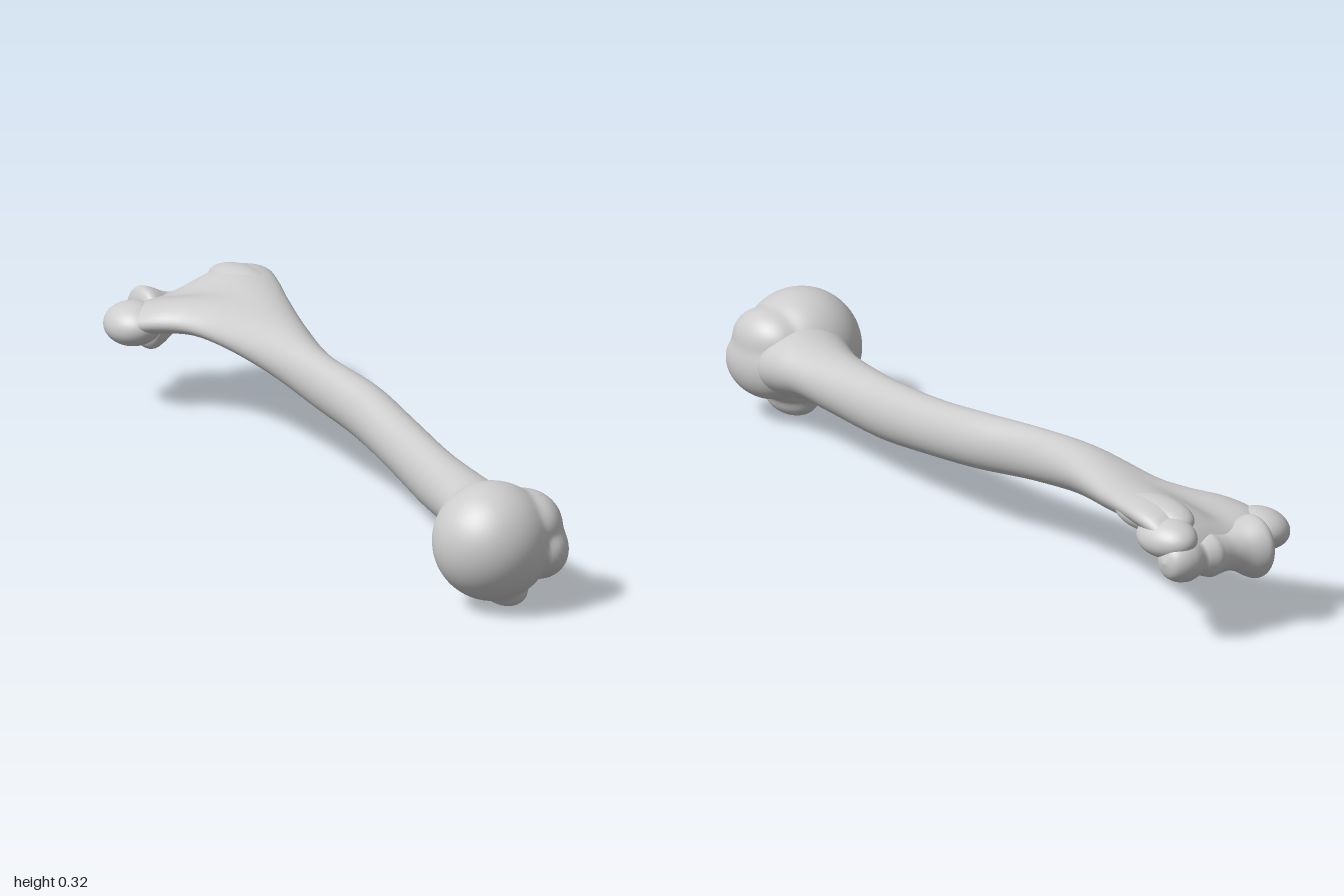
import * as THREE from 'three';

const material = new THREE.MeshStandardMaterial({ color: 0xcccccc });

function addMesh(group, name, geometry) {
  const mesh = new THREE.Mesh(geometry, material);
  mesh.name = name;
  group.add(mesh);
  return mesh;
}

// Shaft stations: z, centre x, centre y, half width, half height, tilt, hollow
const STATIONS = [
  [0.88, -0.13, 0.15, 0.03, 0.03, 0, 0],
  [0.84, -0.14, 0.15, 0.11, 0.08, 0, 0],
  [0.77, -0.132, 0.158, 0.118, 0.083, 0, 0],
  [0.70, -0.108, 0.162, 0.098, 0.070, 0, 0],
  [0.60, -0.078, 0.160, 0.077, 0.069, 0, 0],
  [0.40, -0.033, 0.162, 0.062, 0.071, 0, 0],
  [0.20, 0.010, 0.182, 0.059, 0.067, 0, 0],
  [0.00, 0.043, 0.207, 0.057, 0.067, 0, 0],
  [-0.20, 0.053, 0.228, 0.052, 0.063, 0, 0],
  [-0.40, 0.085, 0.249, 0.075, 0.058, 0.15, 0],
  [-0.60, 0.130, 0.255, 0.110, 0.050, 0.2, 0.05],
  [-0.70, 0.142, 0.260, 0.140, 0.048, 0.2, 0.2],
  [-0.78, 0.135, 0.257, 0.175, 0.052, 0.2, 0.5],
  [-0.85, 0.125, 0.240, 0.190, 0.055, 0.2, 0.55],
  [-0.90, 0.125, 0.220, 0.175, 0.045, 0.15, 0.3],
  [-0.93, 0.130, 0.205, 0.130, 0.025, 0.1, 0],
  [-0.935, 0.130, 0.205, 0.010, 0.005, 0.1, 0],
];

// Smooth value of a table row at fractional index f
function sampleRow(rows, f) {
  const i = Math.min(Math.floor(f), rows.length - 2);
  const t = f - i;
  const row = (k) => rows[Math.max(0, Math.min(rows.length - 1, k))];
  return rows[0].map((_, c) => {
    const [p, q, r, s] = [-1, 0, 1, 2].map((k) => row(i + k)[c]);
    return q + 0.5 * t * (r - p + t * (2 * p - 5 * q + 4 * r - s + t * (3 * (q - r) + s - p)));
  });
}

// Shaft lofted through tilted ovals, hollowed on both faces near the elbow
function shaftGeometry(steps = 8, sides = 56) {
  const rings = (STATIONS.length - 1) * steps;
  const positions = [];
  const index = [];
  for (let i = 0; i <= rings; i++) {
    const [z, cx, cy, a, b, tilt, hollow] = sampleRow(STATIONS, i / steps);
    for (let j = 0; j < sides; j++) {
      const t = (j / sides) * Math.PI * 2;
      const u = Math.cos(t);
      const dip = hollow * Math.exp(-(((u + 0.1) / 0.38) ** 2));
      const x = a * u;
      const y = b * Math.sin(t) * (1 - dip);
      positions.push(
        cx + x * Math.cos(tilt) - y * Math.sin(tilt) * 0.5,
        cy + x * Math.sin(tilt) + y * Math.cos(tilt),
        z
      );
      if (i < rings) {
        const k = i * sides + j;
        const n = i * sides + ((j + 1) % sides);
        index.push(k, k + sides, n, n, k + sides, n + sides);
      }
    }
  }
  const geometry = new THREE.BufferGeometry();
  geometry.setAttribute('position', new THREE.Float32BufferAttribute(positions, 3));
  geometry.setIndex(index);
  geometry.computeVertexNormals();
  return geometry;
}

// Distance along a ray from origin to the far side of an ellipsoid
function exitDistance(origin, dir, [cx, cy, cz, rx, ry, rz]) {
  const o = new THREE.Vector3((origin.x - cx) / rx, (origin.y - cy) / ry, (origin.z - cz) / rz);
  const d = new THREE.Vector3(dir.x / rx, dir.y / ry, dir.z / rz);
  const a = d.dot(d);
  const b = o.dot(d);
  const disc = b * b - a * (o.dot(o) - 1);
  return disc < 0 ? 0 : Math.max(0, (-b + Math.sqrt(disc)) / a);
}

// Sphere swollen outward to a soft union of several ellipsoids
function blendedBlob(centre, blobs, sharpness = 220) {
  const origin = new THREE.Vector3(...centre);
  const geometry = new THREE.SphereGeometry(1, 96, 64);
  const p = geometry.attributes.position;
  const dir = new THREE.Vector3();
  for (let i = 0; i < p.count; i++) {
    dir.fromBufferAttribute(p, i).normalize();
    const sum = blobs.reduce((s, e) => s + Math.exp(sharpness * exitDistance(origin, dir, e)), 0);
    dir.multiplyScalar(Math.log(sum) / sharpness).add(origin);
    p.setXYZ(i, dir.x, dir.y, dir.z);
  }
  geometry.computeVertexNormals();
  return geometry;
}

function addEllipsoid(group, name, [x, y, z, rx, ry, rz], tilt = 0) {
  const mesh = addMesh(group, name, new THREE.SphereGeometry(1, 40, 28));
  mesh.position.set(x, y, z);
  mesh.scale.set(rx, ry, rz);
  mesh.rotation.z = tilt;
}

export function createModel() {
  const bone = new THREE.Group();
  bone.name = 'upperArmBone';

  addMesh(bone, 'shaft', shaftGeometry());

  // Shoulder end: round head, two stacked bumps beside it, small bump below
  addMesh(bone, 'shoulderHead', blendedBlob([-0.14, 0.15, 0.87], [
    [-0.19, 0.16, 0.857, 0.139, 0.14, 0.141],
    [-0.1, 0.195, 0.87, 0.072, 0.075, 0.1],
    [-0.085, 0.14, 0.87, 0.066, 0.082, 0.113],
    [-0.16, 0.045, 0.86, 0.045, 0.044, 0.075],
  ]));

  // Elbow joint: pulley and rounded knob turned about one crosswise axis
  const profile = [
    [0.001, -0.005], [0.045, 0], [0.068, 0.01], [0.075, 0.024], [0.068, 0.045],
    [0.052, 0.075], [0.045, 0.105], [0.048, 0.135], [0.052, 0.155], [0.046, 0.178],
    [0.042, 0.192], [0.049, 0.212], [0.052, 0.23], [0.048, 0.255], [0.033, 0.277], [0.001, 0.288],
  ].map(([r, h]) => new THREE.Vector2(r, h));
  const smooth = new THREE.SplineCurve(profile).getPoints(60);
  smooth.forEach((v) => { v.x = Math.max(v.x, 0.0005); });
  const joint = addMesh(bone, 'elbowPulley', new THREE.LatheGeometry(smooth, 48));
  joint.position.set(0.033, 0.19, -0.925);
  joint.rotation.set(0, -0.08, -Math.PI / 2 + 0.06);

  // Side bumps and the ridge above the outer one
  addEllipsoid(bone, 'innerElbowBump', [-0.018, 0.205, -0.87, 0.065, 0.05, 0.078], 0.2);
  addEllipsoid(bone, 'outerElbowBump', [0.268, 0.25, -0.86, 0.058, 0.045, 0.085], -0.3);
  addEllipsoid(bone, 'outerElbowRidge', [0.232, 0.278, -0.78, 0.06, 0.043, 0.12], -0.1);

  return bone;
}
